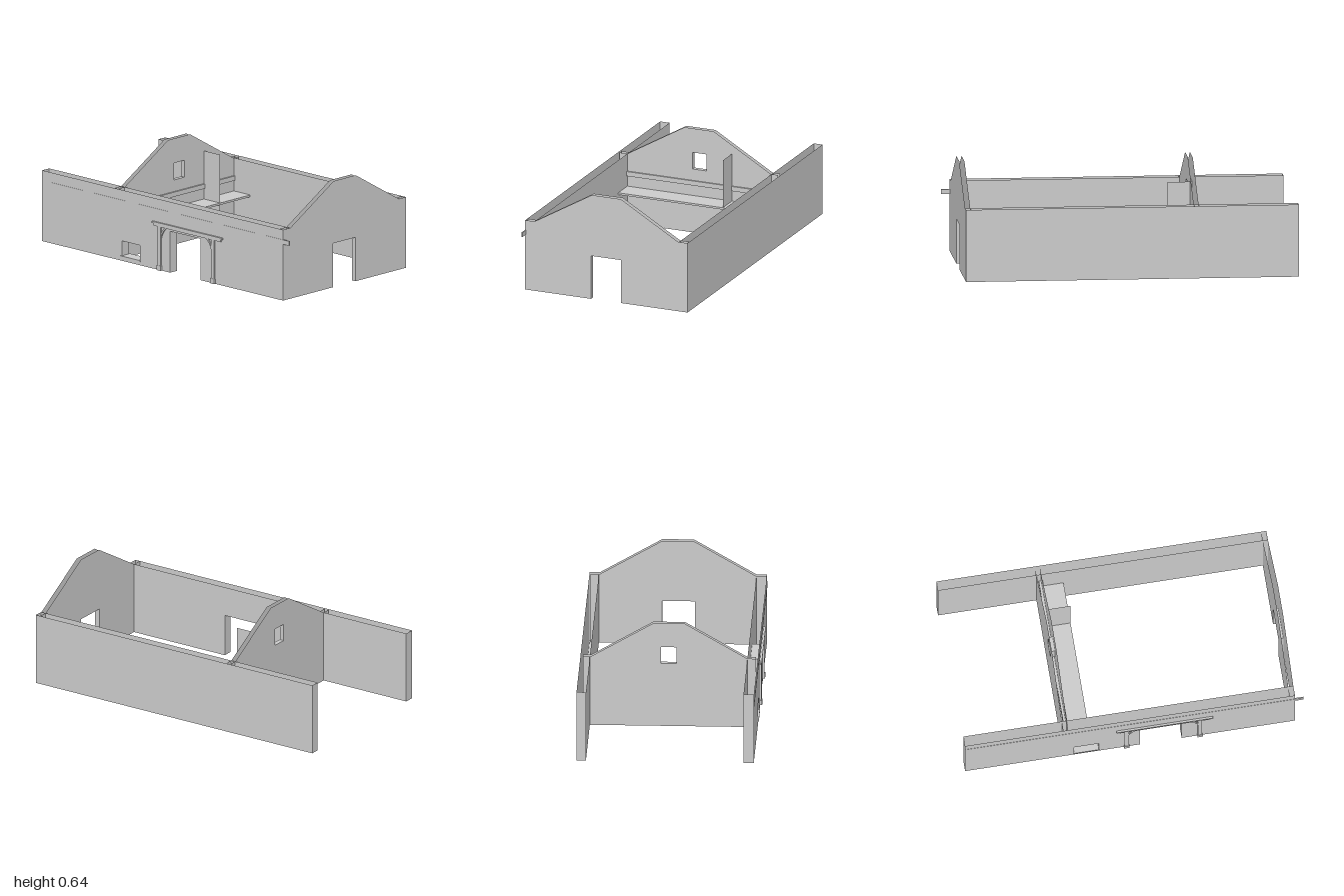
import * as THREE from 'three';
import { mergeGeometries } from 'three/addons/utils/BufferGeometryUtils.js';

const mat = new THREE.MeshStandardMaterial({ color: 0xcccccc, flatShading: true, side: THREE.DoubleSide });
const vecs = (pts) => pts.map(([x, y]) => new THREE.Vector2(x, y));
const rect = (x0, x1, y0, y1) => [[x0, y0], [x1, y0], [x1, y1], [x0, y1], [x0, y0]];

function add(parent, name, geo) {
  const mesh = new THREE.Mesh(geo, mat);
  mesh.name = name;
  parent.add(mesh);
  return mesh;
}

// Box given by its limits
function box(parent, name, x0, x1, y0, y1, z0, z1) {
  const mesh = add(parent, name, new THREE.BoxGeometry(x1 - x0, y1 - y0, z1 - z0));
  mesh.position.set((x0 + x1) / 2, (y0 + y1) / 2, (z0 + z1) / 2);
  return mesh;
}

// Hollow wall: two parallel sheets, joined only along the given polylines
function hollowWall(parent, name, outline, holes, joins, depth) {
  const shape = new THREE.Shape(vecs(outline));
  holes.forEach((h) => shape.holes.push(new THREE.Path(vecs(h))));
  const front = new THREE.ShapeGeometry(shape).toNonIndexed();
  const parts = [front.clone(), front.translate(0, 0, depth)];
  for (const line of joins) {
    for (let i = 0; i + 1 < line.length; i++) {
      const [a, b] = [line[i], line[i + 1]];
      const quad = new THREE.PlaneGeometry(1, 1).toNonIndexed();
      const p = quad.attributes.position;
      for (let k = 0; k < p.count; k++) {
        const end = p.getX(k) < 0 ? a : b;
        p.setXYZ(k, end[0], end[1], p.getY(k) > 0 ? depth : 0);
      }
      quad.computeVertexNormals();
      parts.push(quad);
    }
  }
  return add(parent, name, mergeGeometries(parts));
}

export function createModel() {
  const model = new THREE.Group();
  model.name = 'stationBuilding';
  const H = 0.427;

  // Long walls, open along the top
  const foot = [[-1, H], [-1, 0], [0.035, 0], [0.035, 0.25], [0.28, 0.25], [0.28, 0], [0.95, 0], [0.95, H]];
  const window = rect(-0.355, -0.21, 0.03, 0.12);
  hollowWall(model, 'frontWall', foot, [window], [foot, window], 0.06).position.z = 0.45;
  const plain = [[-1, H], [-1, 0], [0.95, 0], [0.95, H]];
  hollowWall(model, 'backWall', plain, [], [plain], 0.055).position.z = -0.525;

  // Gables, drawn with the horizontal axis running along -z
  const roofLine = [[0.52, H], [0.465, H], [0.1, 0.64], [-0.085, 0.64], [-0.45, H], [-0.51, H]];
  const door = [[-0.09, 0], [-0.09, 0.265], [0.1, 0.265], [0.1, 0]];
  const endGable = hollowWall(model, 'endGable',
    [[-0.51, 0], ...door, [0.52, 0], ...roofLine], [], [door], 0.03);
  endGable.rotation.y = Math.PI / 2;
  endGable.position.x = 0.92;

  const gableWindow = rect(-0.035, 0.055, 0.39, 0.492);
  const innerGable = hollowWall(model, 'innerGable',
    [[-0.5, 0], [0.51, 0], [0.51, H], ...roofLine.slice(1, 5), [-0.5, H]], [gableWindow], [gableWindow], 0.028);
  innerGable.rotation.y = Math.PI / 2;
  innerGable.position.x = -0.418;

  // Loft floor, ledge and thin partition beside the inner gable
  box(model, 'loftFloor', -0.39, -0.258, 0.215, 0.227, -0.47, 0.475);
  box(model, 'gableLedge', -0.405, -0.38, 0.292, 0.32, -0.47, 0.45);
  const partition = add(model, 'partition', new THREE.PlaneGeometry(0.132, 0.518));
  partition.position.set(-0.324, 0.259, -0.217);

  // Window sill and wall rail
  box(model, 'windowSill', -0.36, -0.205, 0.02, 0.03, 0.44, 0.515);
  box(model, 'wallRail', -1, 1, 0.34, 0.367, 0.504, 0.5115);

  // Entrance surround: stepped lintel, posts and curved braces
  const surround = new THREE.Group();
  surround.name = 'entranceSurround';
  model.add(surround);
  box(surround, 'lintelCap', -0.105, 0.465, 0.278, 0.288, 0.496, 0.522);
  box(surround, 'lintel', -0.09, 0.45, 0.263, 0.278, 0.5, 0.519);

  const brace = new THREE.Shape();
  brace.moveTo(0, 0.195);
  brace.quadraticCurveTo(0.012, 0.24, 0.045, 0.263);
  brace.lineTo(0.03, 0.263);
  brace.quadraticCurveTo(0.008, 0.25, 0, 0.215);
  brace.closePath();
  for (const side of [-1, 1]) {
    const half = new THREE.Group();
    half.name = side < 0 ? 'rightPost' : 'leftPost';
    half.position.x = 0.171 + side * 0.204;
    surround.add(half);
    const [a, b] = side < 0 ? [-0.025, 0] : [0, 0.025];
    box(half, 'post', a, b, 0, 0.263, 0.502, 0.519);
    box(half, 'postBase', a - 0.003, b + 0.003, 0, 0.03, 0.5, 0.522);
    const arm = add(half, 'brace', new THREE.ExtrudeGeometry(brace, { depth: 0.012, bevelEnabled: false, curveSegments: 5 }));
    arm.scale.x = -side;
    arm.position.z = 0.505;
  }
  return model;
}
